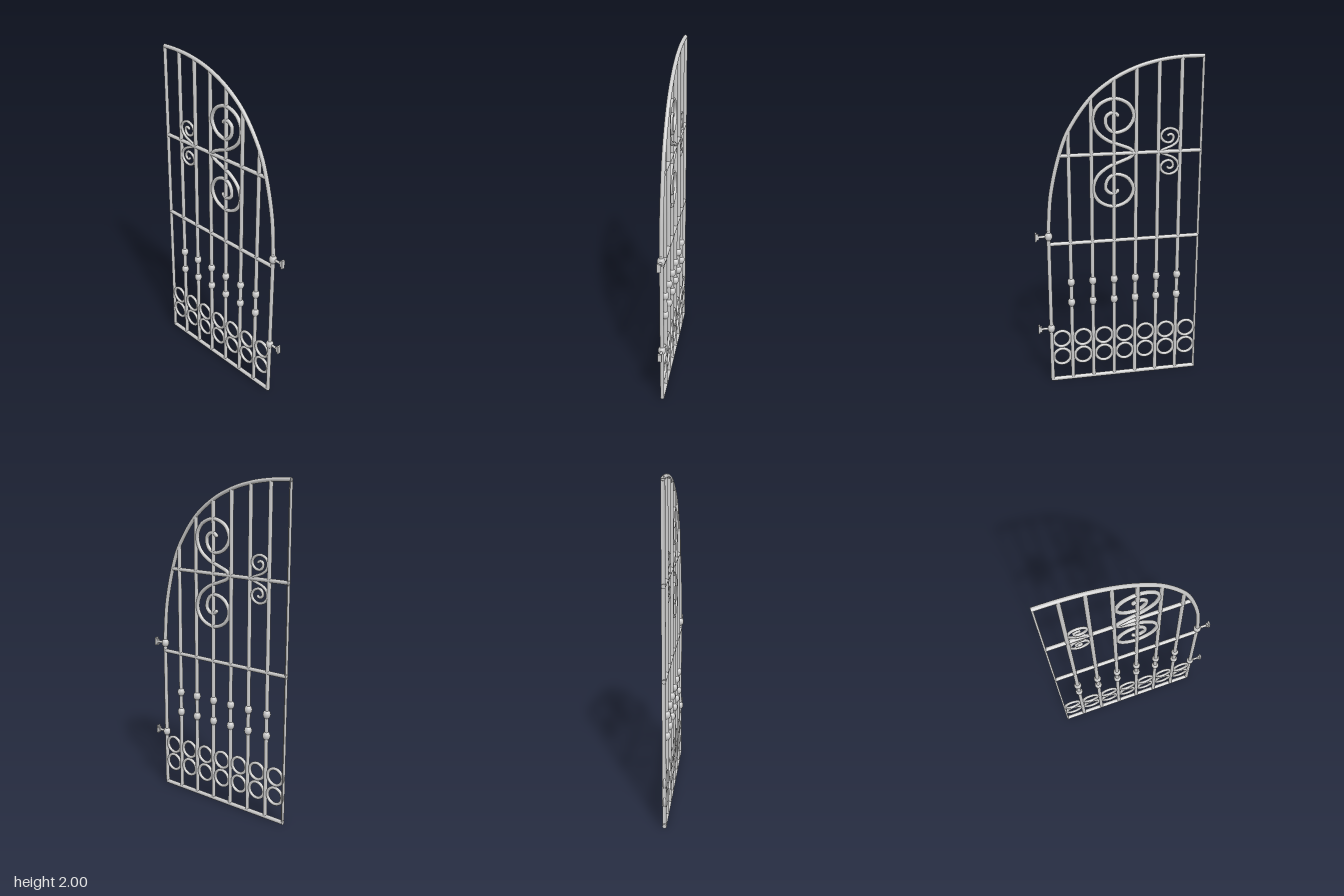
import * as THREE from 'three';

const R = 0.012;              // bar radius
const LEFT = -0.5, RIGHT = 0.42;
const BOTTOM = 0.013, MID = 0.913, UPPER = 1.443;
const PITCH = 0.1323;         // spacing of the upright bars

export function createModel() {
  const gate = new THREE.Group();
  gate.name = 'gardenGate';
  const metal = new THREE.MeshStandardMaterial({ color: 0xcccccc });
  const openMetal = new THREE.MeshStandardMaterial({ color: 0xcccccc, side: THREE.DoubleSide });

  const add = (name, geometry, x = 0, y = 0, z = 0, parent = gate, material = metal) => {
    const mesh = new THREE.Mesh(geometry, material);
    mesh.name = name;
    mesh.position.set(x, y, z);
    parent.add(mesh);
    return mesh;
  };
  const upright = (name, x, y0, y1) =>
    add(name, new THREE.CylinderGeometry(R, R, y1 - y0, 16), x, (y0 + y1) / 2);
  const rail = (name, y, x1, r = R) => {
    const mesh = add(name, new THREE.CylinderGeometry(r, r, x1 - LEFT, 16), (LEFT + x1) / 2, y);
    mesh.rotation.z = Math.PI / 2;
  };
  const curve = (pts) => new THREE.CatmullRomCurve3(pts.map(([x, y]) => new THREE.Vector3(x, y, 0)));

  // Arched top rail running down into the hinge stile
  const archPoints = [[LEFT, 1.988], [-0.37, 1.985], [-0.238, 1.968], [-0.106, 1.932], [0.026, 1.87],
    [0.159, 1.768], [0.291, 1.585], [0.345, 1.45], [0.4, 1.22], [RIGHT, 1.0]];
  add('archRail', new THREE.TubeGeometry(curve(archPoints), 90, R, 14), 0, 0, 0, gate, openMetal);

  // Frame: hinge stile, half-round meeting stile and rails
  upright('hingeStile', RIGHT, BOTTOM, 1.0);
  add('cornerJoint', new THREE.SphereGeometry(R, 16, 10), RIGHT, BOTTOM);
  add('meetingStile', new THREE.CylinderGeometry(R, R, 1.988 - BOTTOM, 10, 1, false, 0, Math.PI),
    LEFT, (1.988 + BOTTOM) / 2, 0, gate, openMetal);
  rail('bottomRail', BOTTOM, RIGHT, 0.013);
  rail('middleRail', MID, RIGHT);
  rail('upperRail', UPPER, 0.346);

  // Barrel-shaped collar that slips over a bar
  const collarProfile = [[0.012, -0.023], [0.017, -0.02], [0.022, -0.01], [0.0235, 0],
    [0.022, 0.01], [0.017, 0.02], [0.012, 0.023]].map(([x, y]) => new THREE.Vector2(x, y));
  const collar = new THREE.LatheGeometry(collarProfile, 20);

  // Upright bars, each ending at the arch and carrying two collars
  for (let i = 0; i < 6; i++) {
    const [x, top] = [-0.37 + i * PITCH, archPoints[i + 1][1]];
    upright('uprightBar', x, BOTTOM, top);
    for (const y of [0.53, 0.662]) add('barCollar', collar, x, y);
  }

  // Two rows of rings between the bars
  const ring = new THREE.TorusGeometry(0.0515, 0.0095, 12, 36);
  for (let i = 0; i < 7; i++) {
    for (const y of [0.167, 0.288]) add('ring', ring, -0.437 + i * PITCH, y);
  }

  // Double scroll: one spiral mirrored across the upper rail
  const spiral = [[0.004, 0.222], [0.018, 0.234], [0.045, 0.236], [0.073, 0.212], [0.072, 0.17], [0.05, 0.137],
    [0.011, 0.123], [-0.055, 0.148], [-0.09, 0.214], [-0.06, 0.283], [0.026, 0.317], [0.113, 0.283],
    [0.148, 0.214], [0.127, 0.135], [0.063, 0.079], [-0.016, 0.047], [-0.073, 0.022]];
  const scroll = (name, x, sx, sy, r) => {
    const group = new THREE.Group();
    group.name = name;
    group.position.set(x, UPPER, 0);
    const half = spiral.map(([px, py]) => [(px - 0.029) * sx, py * sy]);
    const lower = half.map(([px, py]) => [px, -py]).reverse();
    const path = [...half, [-0.119 * sx, 0], ...lower];
    add('scrollBar', new THREE.TubeGeometry(curve(path), 220, r, 12), 0, 0, 0, group);
    for (const [px, py] of [half[0], lower[lower.length - 1]]) {
      add('scrollTip', new THREE.SphereGeometry(r, 14, 10), px, py, 0, group);
    }
    gate.add(group);
  };
  scroll('largeScroll', 0.029, 1, 1, 0.0115);
  scroll('smallScroll', -0.307, -0.45, 0.43, 0.0085);

  // Hinges: collar on the stile, pin and fixing plate
  for (const y of [0.365, 0.963]) {
    const hinge = new THREE.Group();
    hinge.name = 'hinge';
    hinge.position.set(RIGHT, y, 0);
    add('hingeCollar', collar, 0, 0, 0, hinge);
    const pin = add('hingePin', new THREE.CylinderGeometry(0.008, 0.008, 0.06, 14), 0.04, 0, 0, hinge);
    pin.rotation.z = Math.PI / 2;
    add('hingeBoss', new THREE.BoxGeometry(0.012, 0.034, 0.018), 0.064, 0, 0, hinge);
    add('hingePlate', new THREE.BoxGeometry(0.011, 0.052, 0.023), 0.0745, 0, 0, hinge);
    gate.add(hinge);
  }
  return gate;
}
